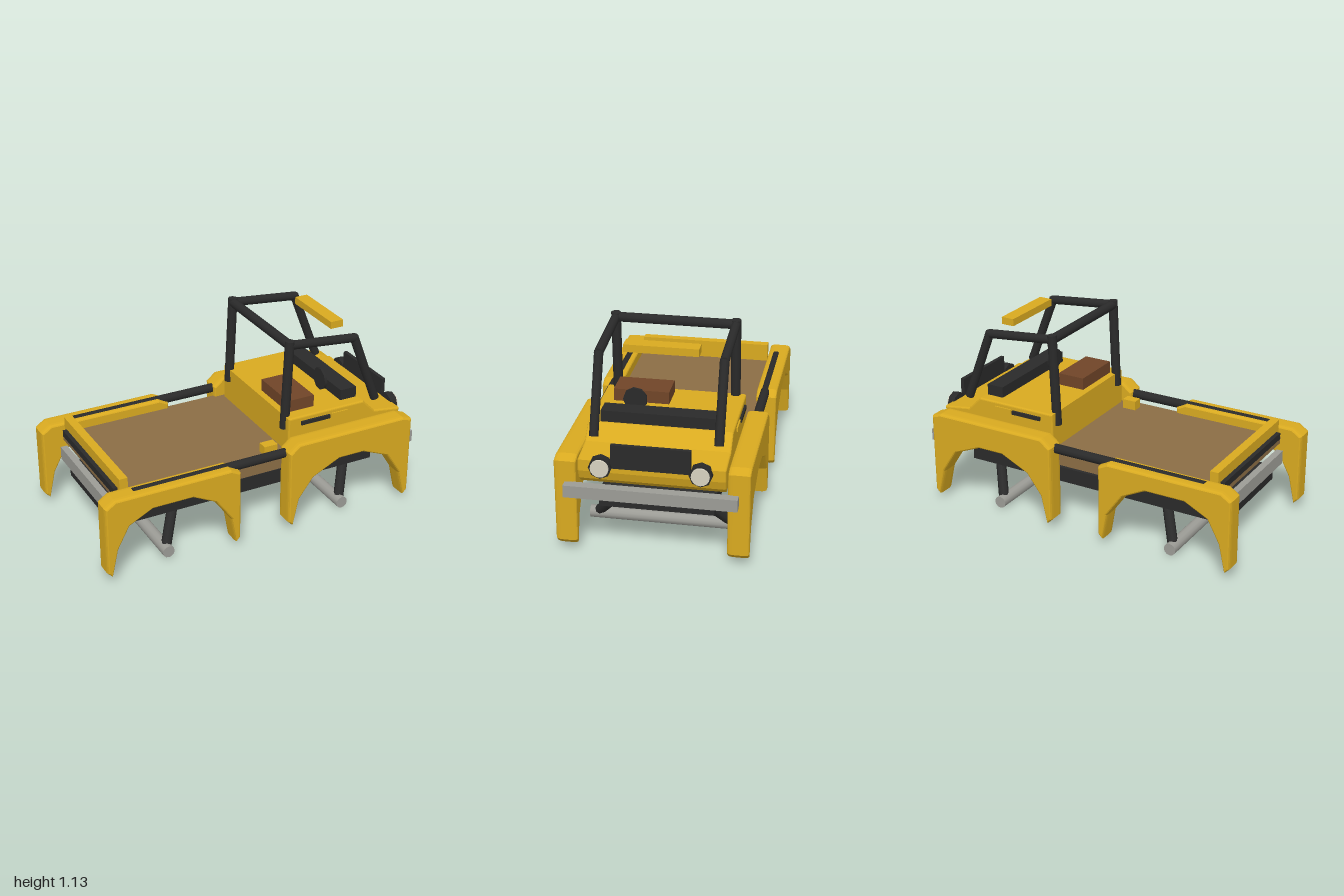
import * as THREE from 'three';

const mat = (name, color) => Object.assign(new THREE.MeshStandardMaterial({ color }), { name });

export function createModel() {
  const yellow = mat('yellow paint', 0xd9aa20);
  const black = mat('black trim', 0x2a2a2a);
  const steel = mat('grey steel', 0x9c9c96);
  const tan = mat('tan bed', 0x8b6d45);
  const leather = mat('brown seat', 0x704528);
  const cream = mat('cream lens', 0xd8d2c0);
  const root = new THREE.Group();
  root.name = 'truckBody';

  const add = (name, geo, material) => {
    const m = new THREE.Mesh(geo, material);
    m.name = name;
    root.add(m);
    return m;
  };
  // Box given by its limits on each axis
  const box = (name, material, [x0, x1], [y0, y1], [z0, z1]) => {
    const m = add(name, new THREE.BoxGeometry(x1 - x0, y1 - y0, z1 - z0), material);
    m.position.set((x0 + x1) / 2, (y0 + y1) / 2, (z0 + z1) / 2);
    return m;
  };
  // Round bar between two points
  const bar = (name, material, a, b, r, sides = 10) => {
    const p = new THREE.Vector3(...a), q = new THREE.Vector3(...b);
    const d = q.clone().sub(p);
    const m = add(name, new THREE.CylinderGeometry(r, r, d.length(), sides), material);
    m.position.copy(p).add(q).multiplyScalar(0.5);
    m.quaternion.setFromUnitVectors(new THREE.Vector3(0, 1, 0), d.normalize());
    return m;
  };
  // Side profile extruded across z, with an inset bevel
  const slab = (name, material, pts, z0, z1, bevel, inset) => {
    const shape = new THREE.Shape(pts.map(([x, y]) => new THREE.Vector2(x, y)));
    const geo = new THREE.ExtrudeGeometry(shape, {
      depth: z1 - z0 - 2 * bevel, bevelEnabled: bevel > 0, bevelThickness: bevel,
      bevelSize: inset, bevelOffset: -inset, bevelSegments: 3,
    });
    geo.translate(0, 0, z0 + bevel);
    return add(name, geo, material);
  };

  // Arched fenders
  const rearArch = [[-0.97, 0.04], [-0.93, 0.21], [-0.86, 0.34], [-0.72, 0.41], [-0.48, 0.41], [-0.34, 0.34],
    [-0.24, 0.2], [-0.21, 0.04], [-0.18, 0.07], [-0.18, 0.49], [-0.24, 0.52], [-0.94, 0.52], [-1, 0.48], [-1, 0.07]];
  const frontArch = [[0.16, 0.04], [0.2, 0.21], [0.29, 0.33], [0.46, 0.41], [0.62, 0.41], [0.79, 0.34],
    [0.88, 0.2], [0.92, 0.04], [0.95, 0.07], [0.95, 0.55], [0.89, 0.57], [0.19, 0.57], [0.13, 0.52], [0.13, 0.07]];
  for (const s of [1, -1]) {
    const z0 = s > 0 ? 0.41 : -0.53;
    slab('rearFender', yellow, rearArch, z0, z0 + 0.12, 0.03, 0.012);
    slab('frontFender', yellow, frontArch, z0, z0 + 0.12, 0.03, 0.012);
  }

  // Cab and hood
  slab('cabBody', yellow, [[0.19, 0.42], [0.9, 0.42], [0.93, 0.45], [0.945, 0.5], [0.945, 0.565],
    [0.77, 0.59], [0.69, 0.67], [0.19, 0.67]], -0.4, 0.4, 0.012, 0.01);

  // Cargo bed, tailgate and sills
  box('bedFloor', tan, [-0.87, 0.2], [0.415, 0.458], [-0.43, 0.43]);
  box('bedSill', tan, [-0.2, 0.14], [0.38, 0.42], [-0.42, 0.42]);
  box('tailgate', yellow, [-0.86, -0.81], [0.42, 0.565], [-0.4, 0.4]);
  box('tailgateStrip', black, [-0.885, -0.86], [0.46, 0.5], [-0.37, 0.37]);
  box('fuelCap', yellow, [0.05, 0.135], [0.455, 0.515], [0.315, 0.375]);

  // Bumpers
  box('frontBumper', steel, [0.945, 1], [0.36, 0.43], [-0.47, 0.47]);
  box('rearBumper', steel, [-0.89, -0.85], [0.29, 0.37], [-0.41, 0.41]);

  // Chassis, axles and struts
  box('chassis', black, [-0.87, 0.81], [0.22, 0.31], [-0.32, 0.32]);
  for (const x of [-0.59, 0.55]) {
    bar('axle', steel, [x, 0.036, -0.432], [x, 0.036, 0.432], 0.036, 12);
    for (const s of [1, -1])
      bar('strut', black, [x + 0.14, 0.25, s * 0.215], [x, 0.04, s * 0.39], 0.03, 8);
  }

  // Roll cage, bed rails and door details
  for (const s of [1, -1]) {
    const z = s * 0.34;
    bar('cageRearPost', black, [0.195, 0.59, z], [0.22, 1.13, z], 0.028);
    bar('cageRoofBar', black, [0.21, 1.105, z], [0.65, 1.06, z], 0.026);
    bar('cageFrontPost', black, [0.64, 1.07, z], [0.805, 0.64, z], 0.026);
    bar('bedRail', black, [-0.81, 0.5, s * 0.457], [0.14, 0.5, s * 0.457], 0.028);
    box('doorHandle', black, [0.27, 0.46], [0.62, 0.642], [s * 0.405 - 0.008, s * 0.405 + 0.008]);
    box('doorHinge', yellow, [0.47, 0.58], [0.622, 0.645], [s * 0.402 - 0.006, s * 0.402 + 0.006]);
  }
  bar('cageCrossBar', black, [0.22, 1.103, -0.34], [0.22, 1.103, 0.34], 0.028);
  box('roofLightBar', yellow, [0.57, 0.65], [1.075, 1.118], [-0.205, 0.205]);

  // Cockpit
  box('seat', leather, [0.23, 0.4], [0.665, 0.742], [0.005, 0.32]);
  box('dashboard', black, [0.575, 0.68], [0.66, 0.735], [-0.33, 0.33]);
  bar('steeringWheel', black, [0.525, 0.75, 0.168], [0.541, 0.75, 0.168], 0.068, 9);

  // Grille and headlights
  box('grille', black, [0.937, 0.96], [0.535, 0.672], [-0.215, 0.215]);
  for (const s of [1, -1]) {
    const z = s * 0.27;
    bar('headlightRing', black, [0.935, 0.541, z], [0.978, 0.541, z], 0.063, 8);
    bar('headlightLens', cream, [0.95, 0.541, z], [0.99, 0.541, z], 0.05, 16);
  }
  return root;
}
